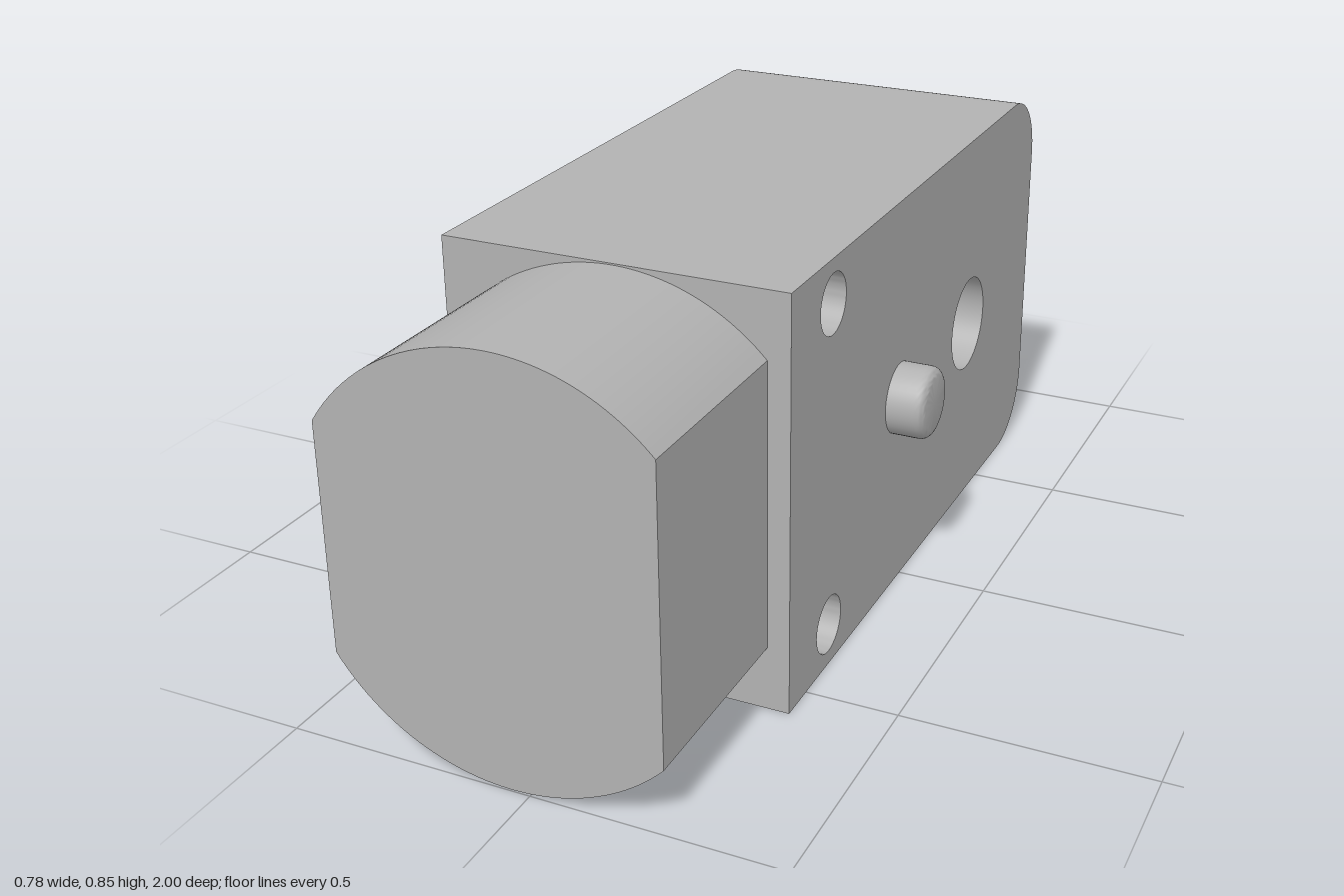
import * as THREE from 'three';
import { toCreasedNormals } from 'three/addons/utils/BufferGeometryUtils.js';

const MID = 0.424; // height of the main axis

export function createModel() {
  const model = new THREE.Group();
  model.name = 'gearMotor';
  const grey = new THREE.MeshStandardMaterial({ color: 0xb2b2b2 });
  grey.name = 'grey';

  const add = (name, geometry) => {
    const mesh = new THREE.Mesh(toCreasedNormals(geometry, 0.6), grey);
    mesh.name = name;
    model.add(mesh);
    return mesh;
  };
  const extrude = (shape, depth) =>
    new THREE.ExtrudeGeometry(shape, { depth, bevelEnabled: false, curveSegments: 24 });
  // side profiles are drawn with u = -z and v = y, then extruded along x
  const extrudeAcross = (shape, x0, x1) =>
    extrude(shape, x1 - x0).rotateY(Math.PI / 2).translate(x0, 0, 0);
  const drill = (shape, z, y, r) =>
    shape.holes.push(new THREE.Path().absarc(-z, y, r, 0, Math.PI * 2, true));

  // Gearbox housing: rounded at the back, drilled through
  const H = 0.848, R = 0.15, back = 0.817, front = -0.58;
  const body = new THREE.Shape();
  body.moveTo(front, 0);
  body.lineTo(back - R, 0);
  body.absarc(back - R, R, R, -Math.PI / 2, 0, false);
  body.absarc(back - R, H - R, R, 0, Math.PI / 2, false);
  body.lineTo(front, H);
  body.closePath();
  for (const s of [-1, 1]) drill(body, 0.39, MID + s * 0.335, 0.06);
  drill(body, -0.393, MID, 0.104);
  add('gearboxHousing', extrudeAcross(body, -0.39, 0.312));

  // Mounting tab with its hole
  const tab = new THREE.Shape();
  tab.moveTo(back, 0.33);
  tab.lineTo(1, 0.33);
  tab.lineTo(1, 0.52);
  tab.lineTo(back, 0.52);
  tab.closePath();
  drill(tab, -0.925, MID, 0.058);
  add('mountingTab', extrudeAcross(tab, -0.09, 0.012));

  // Motor can: a cylinder with two flats
  const cx = -0.037, r = 0.421;
  const a = Math.acos((0.267 - cx) / r); // right flat
  const b = Math.acos((-0.39 - cx) / r); // left flat
  const can = new THREE.Shape();
  can.absarc(cx, MID, r, a, b, false);
  can.absarc(cx, MID, r, -b, -a, false);
  can.closePath();
  add('motorCan', extrude(can, 0.42).translate(0, 0, 0.58));

  // Locating peg with a rounded rim
  const profile = [new THREE.Vector2(0.075, 0)];
  for (let i = 0; i <= 6; i++) {
    const t = (i / 6) * Math.PI / 2;
    profile.push(new THREE.Vector2(0.055 + 0.02 * Math.cos(t), 0.058 + 0.02 * Math.sin(t)));
  }
  profile.push(new THREE.Vector2(0, 0.078));
  const peg = new THREE.LatheGeometry(profile, 40).rotateZ(-Math.PI / 2);
  add('locatingPeg', peg).position.set(0.312, MID + 0.001, 0.035);

  return model;
}
